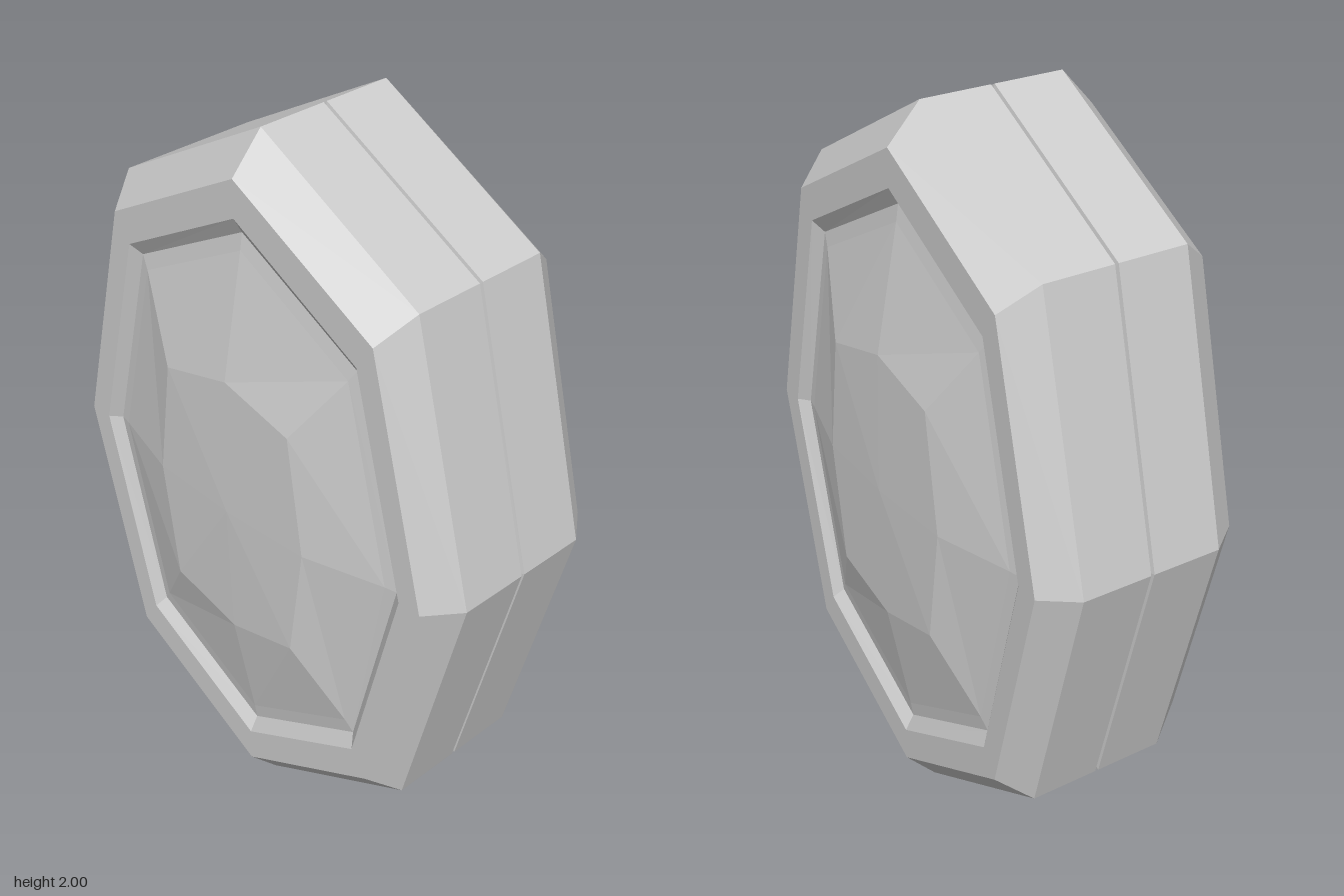
import * as THREE from 'three';

const material = new THREE.MeshStandardMaterial({ color: 0xcccccc, flatShading: true });

// A ring of the long octagon: tip height, corner x, corner y, side x, depth z
function ring([tip, cx, cy, side, z]) {
  return [[side, 0], [cx, cy], [0, tip], [-cx, cy], [-side, 0], [-cx, -cy], [0, -tip], [cx, -cy]]
    .map(([x, y]) => [x, y, z]);
}

// Skin successive rings; quads face outwards when rings run from back to front
function loft(name, stations) {
  const rings = stations.map(ring);
  const pos = [];
  for (let s = 0; s < rings.length - 1; s++) {
    const a = rings[s], b = rings[s + 1];
    for (let i = 0; i < 8; i++) {
      const j = (i + 1) % 8;
      pos.push(...a[i], ...a[j], ...b[j], ...a[i], ...b[j], ...b[i]);
    }
  }
  const geometry = new THREE.BufferGeometry();
  geometry.setAttribute('position', new THREE.Float32BufferAttribute(pos, 3));
  geometry.computeVertexNormals();
  const mesh = new THREE.Mesh(geometry, material);
  mesh.name = name;
  return mesh;
}

export function createModel() {
  const model = new THREE.Group();
  model.name = 'octagonalCase';
  const body = new THREE.Group();
  body.position.y = 1;
  model.add(body);

  // Thin recessed seam between the two halves
  const seamEdge = [1, 0.5, 0.727, 0.685, 0.005];
  const seamFloor = [0.985, 0.492, 0.716, 0.675, 0.002];
  body.add(loft('seam', [[...seamEdge.slice(0, 4), -0.005],
    [...seamFloor.slice(0, 4), -0.002], seamFloor, seamEdge]));

  const shell = [
    seamEdge,
    [1, 0.5, 0.727, 0.685, 0.2],       // side wall
    [0.902, 0.45, 0.657, 0.617, 0.29], // bevel
    [0.803, 0.4, 0.585, 0.55, 0.29],   // flat rim
    [0.76, 0.38, 0.555, 0.52, 0.265],  // groove wall
    [0.715, 0.357, 0.522, 0.487, 0.272], // groove floor
  ];
  const dome = [
    shell[shell.length - 1],
    [0.382, 0.218, 0.326, 0.265, 0.335],
    [0, 0, 0, 0, 0.346],
  ];

  // Front and back halves are the same, turned about the vertical axis
  for (const [name, turn] of [['front', 0], ['back', Math.PI]]) {
    const half = new THREE.Group();
    half.name = name + 'Half';
    half.rotation.y = turn;
    half.add(loft(name + 'Shell', shell), loft(name + 'Dome', dome));
    body.add(half);
  }
  return model;
}
